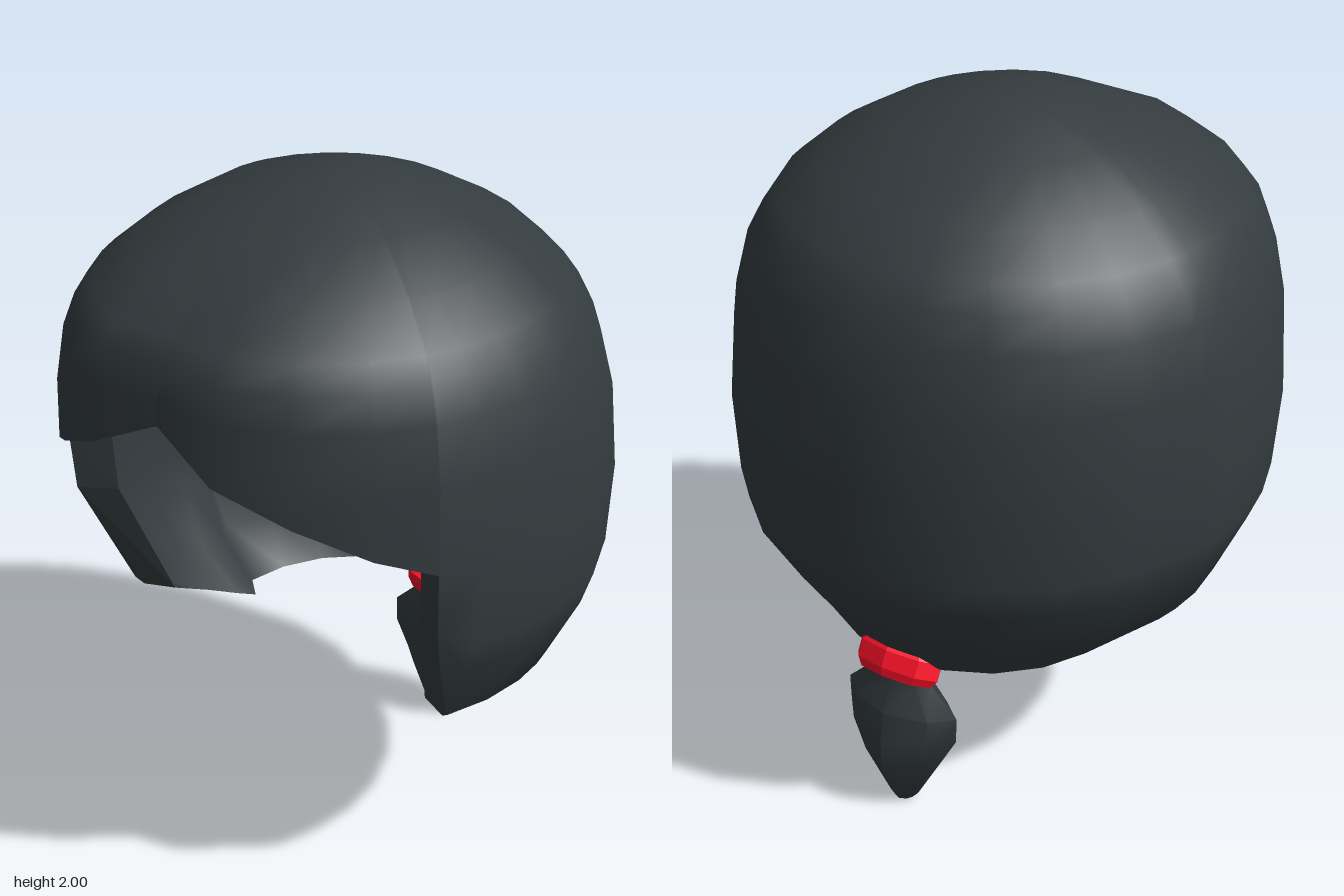
import * as THREE from 'three';
import { toCreasedNormals } from 'three/addons/utils/BufferGeometryUtils.js';

const hairMat = new THREE.MeshStandardMaterial({ color: 0x343c3f, side: THREE.DoubleSide });
const tieMat = new THREE.MeshStandardMaterial({ color: 0xff1028 });
const { clamp, smoothstep, degToRad } = THREE.MathUtils;

// Hair cap profile: height, then radius at the sides, front and back
const PROFILE = [
  [2, 0, 0, 0], [1.99, 0.15, 0.16, 0.15], [1.93, 0.35, 0.37, 0.33], [1.84, 0.51, 0.575, 0.5],
  [1.74, 0.63, 0.71, 0.61], [1.68, 0.67, 0.76, 0.655], [1.59, 0.72, 0.78, 0.7],
  [1.43, 0.76, 0.795, 0.745], [1.18, 0.78, 0.79, 0.77], [0.94, 0.765, 0.765, 0.762],
  [0.84, 0.725, 0.725, 0.755], [0.65, 0.64, 0.64, 0.64], [0.51, 0.445, 0.445, 0.56],
];
// Hem: angle from the front in degrees and height of the lower edge
const HALF_HEM = [
  [0, 1.525], [15, 1.43], [30, 1.34], [45, 1.25], [57.3, 1.19], [57.8, 1.0], [66, 0.63],
  [78, 0.578], [90, 0.536], [99, 0.51], [105, 0.51], [120, 0.51], [135, 0.51], [150, 0.51],
  [165, 0.51], [180, 0.51],
];
const HEM = [...HALF_HEM, ...HALF_HEM.slice(0, -1).reverse().map(([a, y]) => [360 - a, y])];

function radiusAt(y, angle) {
  let k = 1;
  while (k < PROFILE.length - 1 && PROFILE[k][0] > y) k++;
  const [p, q] = [PROFILE[k - 1], PROFILE[k]];
  const t = (p[0] - y) / (p[0] - q[0]);
  const r = (c) => p[c] + (q[c] - p[c]) * t;
  const c = Math.cos(angle);
  return c > 0 ? r(1) + (r(2) - r(1)) * c * c : r(1) - (r(3) - r(1)) * c;
}

// A point on the outer or inner skin; the front column sinks into a parting
function skinPoint(deg, y, inner) {
  const a = degToRad(deg);
  let r = radiusAt(y, a);
  if (deg % 360 === 0) r -= 0.055 * clamp((1.95 - y) / 0.15, 0, 1);
  if (inner) {
    // Thick along the face opening, thin at the nape
    const nape = clamp((Math.min(deg, 360 - deg) - 99) / 6, 0, 1);
    r *= 0.84 + 0.14 * nape * (1 - smoothstep(y, 0.51, 0.85));
    y -= 0.11 * smoothstep(y, 1.53, 2);
  }
  return [r * Math.sin(a), y, r * Math.cos(a)];
}

function skin(inner) {
  const n = PROFILE.length, pos = [], index = [];
  const last = HEM.map(([, hem]) => PROFILE.findIndex((p) => p[0] <= hem));
  for (const [deg, hem] of HEM) {
    for (const [y] of PROFILE) pos.push(...skinPoint(deg, Math.max(y, hem), inner));
  }
  const id = (i, j) => i * n + Math.min(j, last[i]);
  const tri = (a, b, c) => {
    if (a !== b && b !== c && a !== c) index.push(...(inner ? [a, c, b] : [a, b, c]));
  };
  for (let i = 0; i < HEM.length - 1; i++) {
    for (let j = 0; j < n - 1; j++) {
      const A = id(i, j), B = id(i + 1, j), C = id(i, j + 1), D = id(i + 1, j + 1);
      if (j > 0) tri(A, C, B);
      tri(B, C, D);
    }
  }
  const geo = new THREE.BufferGeometry();
  geo.setAttribute('position', new THREE.Float32BufferAttribute(pos, 3));
  geo.setIndex(index);
  geo.computeVertexNormals();
  // Smooth crown; the parting stays sharp only lower down
  const nor = geo.attributes.normal;
  for (let i = 0; i < HEM.length; i++) {
    nor.setXYZ(i * n, 0, inner ? -1 : 1, 0);
    if (i === 0 || i === HEM.length - 1) {
      for (let j = 1; j < 3; j++) {
        const v = new THREE.Vector3(0, nor.getY(i * n + j), nor.getZ(i * n + j)).normalize();
        nor.setXYZ(i * n + j, v.x, v.y, v.z);
      }
    }
  }
  return geo;
}

// Band joining the two skins along the hem
function rim() {
  const pos = [];
  for (let i = 0; i < HEM.length - 1; i++) {
    const [P, Q, p, q] = [[i, false], [i + 1, false], [i, true], [i + 1, true]]
      .map(([k, inner]) => skinPoint(...HEM[k], inner));
    pos.push(...P, ...p, ...Q, ...Q, ...p, ...q);
  }
  const geo = new THREE.BufferGeometry();
  geo.setAttribute('position', new THREE.Float32BufferAttribute(pos, 3));
  geo.computeVertexNormals();
  return geo;
}

// Tail: flat-fronted cross-sections [y, half width, front z, side z, back z]
function tail() {
  const rows = [
    [0.48, 0.09, -0.5, -0.535, -0.575], [0.43, 0.105, -0.49, -0.53, -0.585],
    [0.35, 0.187, -0.48, -0.532, -0.625], [0.27, 0.185, -0.48, -0.532, -0.642],
    [0.17, 0.13, -0.487, -0.532, -0.64], [0.02, 0.048, -0.508, -0.535, -0.578],
    [0, 0.03, -0.52, -0.54, -0.565],
  ];
  const pos = [], index = [], m = 7;
  for (const [y, w, f, s, b] of rows) {
    const mid = s + (b - s) * 0.62;
    const ring = [[-0.64, f], [0.64, f], [1, s], [0.68, mid], [0, b], [-0.68, mid], [-1, s]];
    for (const [x, z] of ring) pos.push(x * w, y, z);
  }
  for (let j = 0; j < rows.length - 1; j++) {
    for (let i = 0; i < m; i++) {
      const A = j * m + i, B = j * m + (i + 1) % m;
      index.push(A, A + m, B, B, A + m, B + m);
    }
  }
  const e = (rows.length - 1) * m;
  for (let i = 1; i < m - 1; i++) {
    index.push(0, i, i + 1, e, e + i + 1, e + i);
  }
  const geo = new THREE.BufferGeometry();
  geo.setAttribute('position', new THREE.Float32BufferAttribute(pos, 3));
  geo.setIndex(index);
  return toCreasedNormals(geo, 0.6);
}

export function createModel() {
  const model = new THREE.Group();
  const add = (name, geo, mat, parent = model) => {
    const mesh = new THREE.Mesh(geo, mat);
    mesh.name = name;
    parent.add(mesh);
    return mesh;
  };

  const cap = new THREE.Group();
  cap.name = 'hairCap';
  model.add(cap);
  add('outerHair', skin(false), hairMat, cap);
  add('innerHair', skin(true), hairMat, cap);
  add('hairRim', rim(), hairMat, cap);

  add('ponytail', tail(), hairMat);

  // Tilted bevelled hair tie
  const section = [[0, -0.05], [0.118, -0.05], [0.137, -0.025], [0.137, 0.025], [0.118, 0.05], [0, 0.05]];
  const band = new THREE.LatheGeometry(section.map(([x, y]) => new THREE.Vector2(x, y)), 8);
  const tie = add('hairTie', toCreasedNormals(band, 0.3), tieMat);
  tie.scale.z = 0.62;
  tie.rotation.x = 0.5;
  tie.position.set(0, 0.495, -0.538);

  return model;
}
